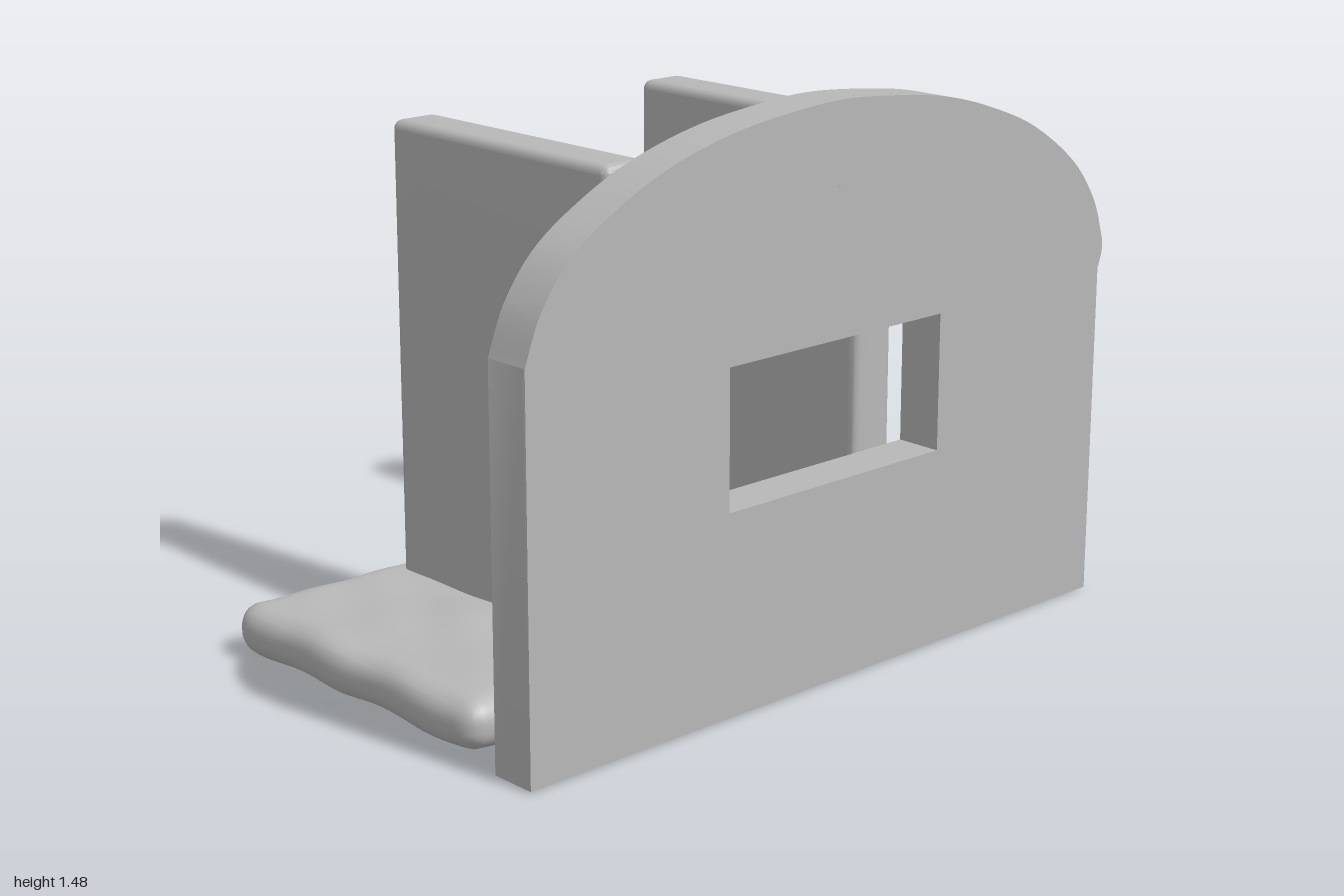
import * as THREE from 'three';
import { mergeVertices, toCreasedNormals } from 'three/addons/utils/BufferGeometryUtils.js';

const grey = new THREE.MeshStandardMaterial({ color: 0xb8b8b8 });
grey.name = 'plain grey';

function part(name, geometry) {
  const mesh = new THREE.Mesh(geometry, grey);
  mesh.name = name;
  return mesh;
}

// Smooth, irregular ripple for the hand-rolled surface
function ripple(x, y, z) {
  return 0.4 * Math.sin(9 * x + 5 * z + 2 * Math.sin(7 * z))
    + 0.35 * Math.sin(17 * z - 11 * x + 6 * y + 1.7 * Math.sin(8 * x))
    + 0.25 * Math.sin(29 * x + 19 * z + 13 * y);
}

// Rounded slab with a rippled skin
function slabGeometry(w, h, d, r) {
  let g = new THREE.BoxGeometry(w, h, d, 80, 10, 40);
  g.deleteAttribute('uv');
  g.deleteAttribute('normal');
  g = mergeVertices(g);
  const pos = g.attributes.position;
  const half = new THREE.Vector3(w / 2 - r, h / 2 - r, d / 2 - r);
  const p = new THREE.Vector3(), core = new THREE.Vector3();
  for (let i = 0; i < pos.count; i++) {
    p.fromBufferAttribute(pos, i);
    core.copy(p).clamp(half.clone().negate(), half);
    const dir = p.clone().sub(core).normalize();
    const lift = 0.007 * ripple(p.x, p.y, p.z) - 0.003;
    p.copy(core).addScaledVector(dir, r + lift);
    pos.setXYZ(i, p.x, p.y, p.z);
  }
  g.computeVertexNormals();
  return g;
}

// Upright panel with soft edges and a straight round bore
function panelGeometry() {
  const z0 = -0.52, z1 = 0.31, y0 = 0.08, y1 = 1.34, c = 0.03, b = 0.025;
  const bore = { z: -0.04, y: 0.705, r: 0.055 };
  const s = new THREE.Shape();
  s.moveTo(z0, y0).lineTo(z1, y0).lineTo(z1, y1 - c);
  s.quadraticCurveTo(z1, y1, z1 - c, y1).lineTo(z0 + c, y1);
  s.quadraticCurveTo(z0, y1, z0, y1 - c).lineTo(z0, y0);
  s.holes.push(new THREE.Path().absarc(bore.z, bore.y, bore.r, 0, Math.PI * 2, true));
  let g = new THREE.ExtrudeGeometry(s, {
    depth: 0.14 - 2 * b, bevelEnabled: true, bevelSize: b, bevelOffset: -b,
    bevelThickness: b, bevelSegments: 4, curveSegments: 16,
  });
  // Keep the bore a plain cylinder
  const pos = g.attributes.position;
  for (let i = 0; i < pos.count; i++) {
    const dx = pos.getX(i) - bore.z, dy = pos.getY(i) - bore.y, len = Math.hypot(dx, dy);
    if (len < 0.12) pos.setXY(i, bore.z + dx / len * bore.r, bore.y + dy / len * bore.r);
  }
  g.translate(0, 0, b - 0.07);
  g.rotateY(-Math.PI / 2);
  return toCreasedNormals(g, 0.8);
}

// Arched outline of the front board with its window
function boardShape() {
  const arch = [
    [-1, 1], [-0.95, 1.12], [-0.86, 1.23], [-0.72, 1.32], [-0.56, 1.39], [-0.37, 1.44],
    [-0.18, 1.465], [0, 1.475], [0.2, 1.46], [0.37, 1.435], [0.53, 1.39], [0.7, 1.32],
    [0.86, 1.21], [0.95, 1.1], [0.99, 1], [0.998, 0.95], [0.983, 0.9],
  ].map(([x, y]) => new THREE.Vector2(x, y));
  const s = new THREE.Shape();
  s.moveTo(0.98, 0).lineTo(-1, 0).lineTo(-1, 1);
  s.splineThru(arch.slice(1));
  s.lineTo(0.98, 0);
  const win = new THREE.Path();
  win.moveTo(-0.375, 0.525).lineTo(0.36, 0.525).lineTo(0.36, 0.885).lineTo(-0.375, 0.885).closePath();
  s.holes.push(win);
  return s;
}

// Heart outline with pointed side tips
function heartPath() {
  const cx = -0.01, cy = 1.225, r = 0.093, off = 0.085;
  const end = Math.acos(off / r);
  const p = new THREE.Path();
  p.moveTo(cx, 1.0).lineTo(cx - 0.213, 1.23).lineTo(cx - off - r, 1.23);
  p.absarc(cx - off, cy, r, Math.PI - 0.05, end, true);
  p.absarc(cx + off, cy, r, Math.PI - end, 0.05, true);
  p.lineTo(cx + 0.213, 1.23).lineTo(cx, 1.0);
  return p;
}

function boardGeometry(shape, z, depth) {
  const g = new THREE.ExtrudeGeometry(shape, { depth, bevelEnabled: false, curveSegments: 48 });
  g.translate(0, 0, z);
  return toCreasedNormals(g, 0.5);
}

export function createModel() {
  const model = new THREE.Group();
  model.name = 'standWithFrontBoard';

  // Rippled base slab
  const base = part('base', slabGeometry(1.98, 0.135, 0.965, 0.06));
  base.position.set(-0.01, 0.067, -0.11);
  model.add(base);

  // Pair of bored uprights
  for (const [name, x] of [['rightUpright', -0.44], ['leftUpright', 0.42]]) {
    const upright = part(name, panelGeometry());
    upright.position.x = x;
    model.add(upright);
  }

  // Front board: solid core plus a thin face with the heart sunk into it
  const skin = 0.006;
  const board = new THREE.Group();
  board.name = 'frontBoard';
  const face = boardShape();
  face.holes.push(heartPath());
  board.add(part('boardCore', boardGeometry(boardShape(), 0.463, 0.127 - skin)));
  board.add(part('boardFace', boardGeometry(face, 0.59 - skin, skin)));
  model.add(board);

  return model;
}
